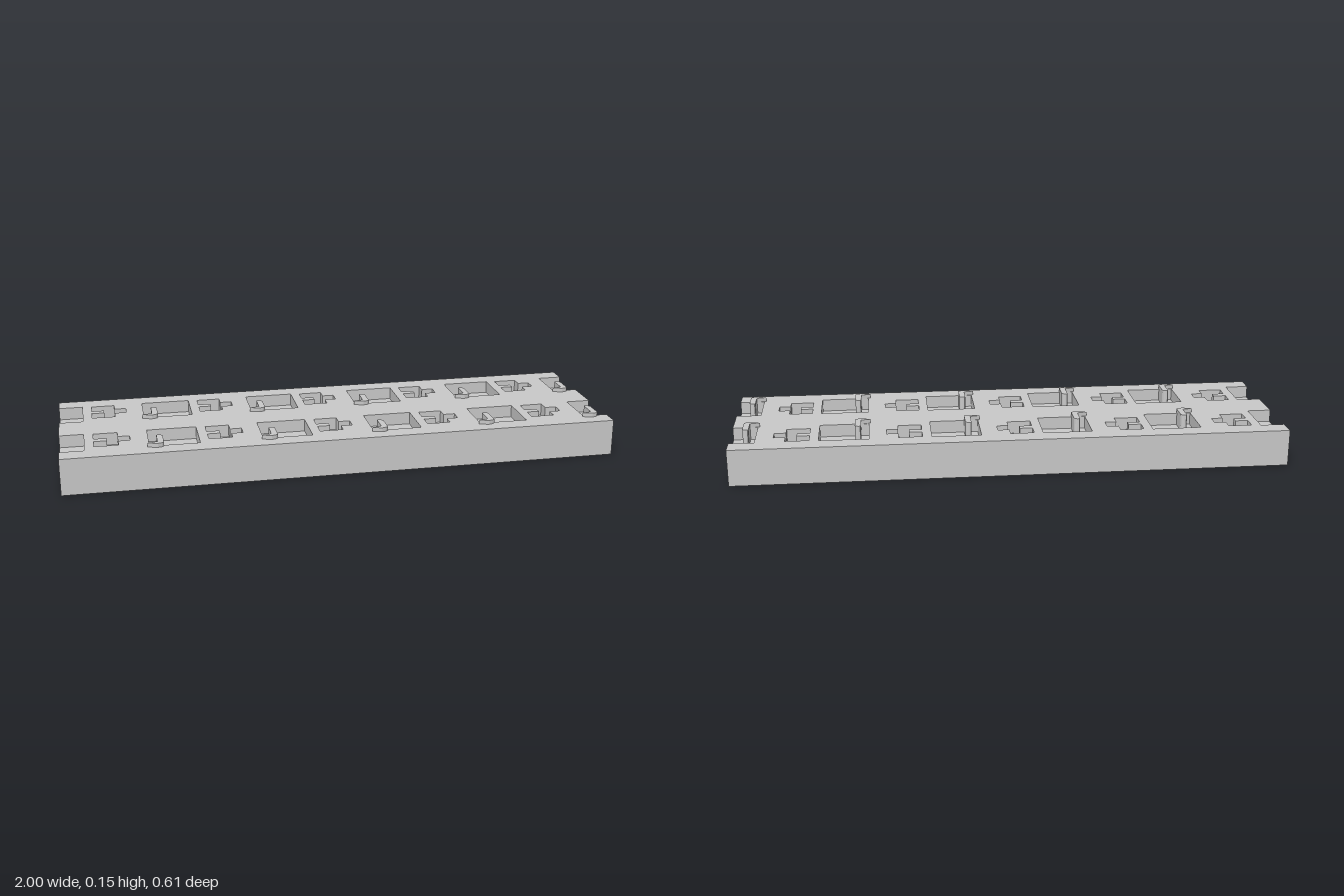
import * as THREE from 'three';

const FLOOR = 0.088, TOP = 0.133, TAB_TOP = 0.148;
const HALF_Z = 0.304, ROWS = [0.1525, -0.1515], PITCH = 0.4;
const POCKET_W = 0.177, POCKET_H = 0.083;

// plan points are [x, z]; shape y is -z so the extrusion can be stood upright
const plan = (pts, dx = 0, dz = 0) => pts.map(([x, z]) => new THREE.Vector2(x + dx, -(z + dz)));

function extrudeUp(shape, y0, y1) {
  const g = new THREE.ExtrudeGeometry(shape, { depth: y1 - y0, bevelEnabled: false });
  return g.rotateX(-Math.PI / 2).translate(0, y0, 0);
}

export function createModel() {
  const group = new THREE.Group();
  const grey = new THREE.MeshStandardMaterial({ color: 0xc8c8c8 });
  grey.name = 'plain grey';
  const add = (name, geometry) => {
    const mesh = new THREE.Mesh(geometry, grey);
    mesh.name = name;
    group.add(mesh);
  };

  // solid lower slab, whose top is the floor of every recess
  add('baseSlab', new THREE.BoxGeometry(2, FLOOR, HALF_Z * 2).translate(0, FLOOR / 2, 0));

  // upper layer outline, with half pockets open at both ends
  const outline = [[-1, -HALF_Z], [1, -HALF_Z]];
  for (const r of [...ROWS].reverse())
    outline.push([1, r - POCKET_H], [0.91, r - POCKET_H], [0.91, r + POCKET_H], [1, r + POCKET_H]);
  outline.push([1, HALF_Z], [-1, HALF_Z]);
  for (const r of ROWS)
    outline.push([-1, r + POCKET_H], [-0.913, r + POCKET_H], [-0.913, r - POCKET_H], [-1, r - POCKET_H]);
  // counter-clockwise outline, so the hole walls face into the recesses
  const layer = new THREE.Shape(plan(outline).reverse());

  const pocket = [[0, -POCKET_H], [POCKET_W, -POCKET_H], [POCKET_W, POCKET_H], [0, POCKET_H]];
  // notched socket with one arm
  const socket = [
    [0, -0.078], [0.085, -0.078], [0.085, -0.036], [0.127, -0.036], [0.127, 0.009], [0.085, 0.009],
    [0.085, 0.05], [0, 0.05], [0, 0], [0.046, 0], [0.046, -0.027], [0, -0.027],
  ];
  // latch: stem with a rounded end, and a barb hooked over the pocket's edge
  const stem = [
    [0.028, 0.09], [0.028, 0.017], [0.031, 0.014], [0.039, 0.014], [0.046, 0.018], [0.05, 0.024], [0.05, 0.09],
  ];
  const barb = [
    [-0.007, 0.09], [0.028, 0.082], [0.05, 0.082], [0.05, 0.092], [0.042, 0.098], [0.028, 0.102], [0.018, 0.1],
  ];

  for (const r of ROWS) {
    for (let i = 0; i < 5; i++) {
      const x = -0.69 + i * PITCH;
      if (i < 4) layer.holes.push(new THREE.Path(plan(pocket, x, r)));
      layer.holes.push(new THREE.Path(plan(socket, x - 0.19, r)));
      add('latchStem', extrudeUp(new THREE.Shape(plan(stem, x, r)), FLOOR, TAB_TOP));
      add('latchBarb', extrudeUp(new THREE.Shape(plan(barb, x, r)), TOP - 0.002, TAB_TOP));
    }
  }
  add('recessedTopLayer', extrudeUp(layer, FLOOR, TOP));
  return group;
}
